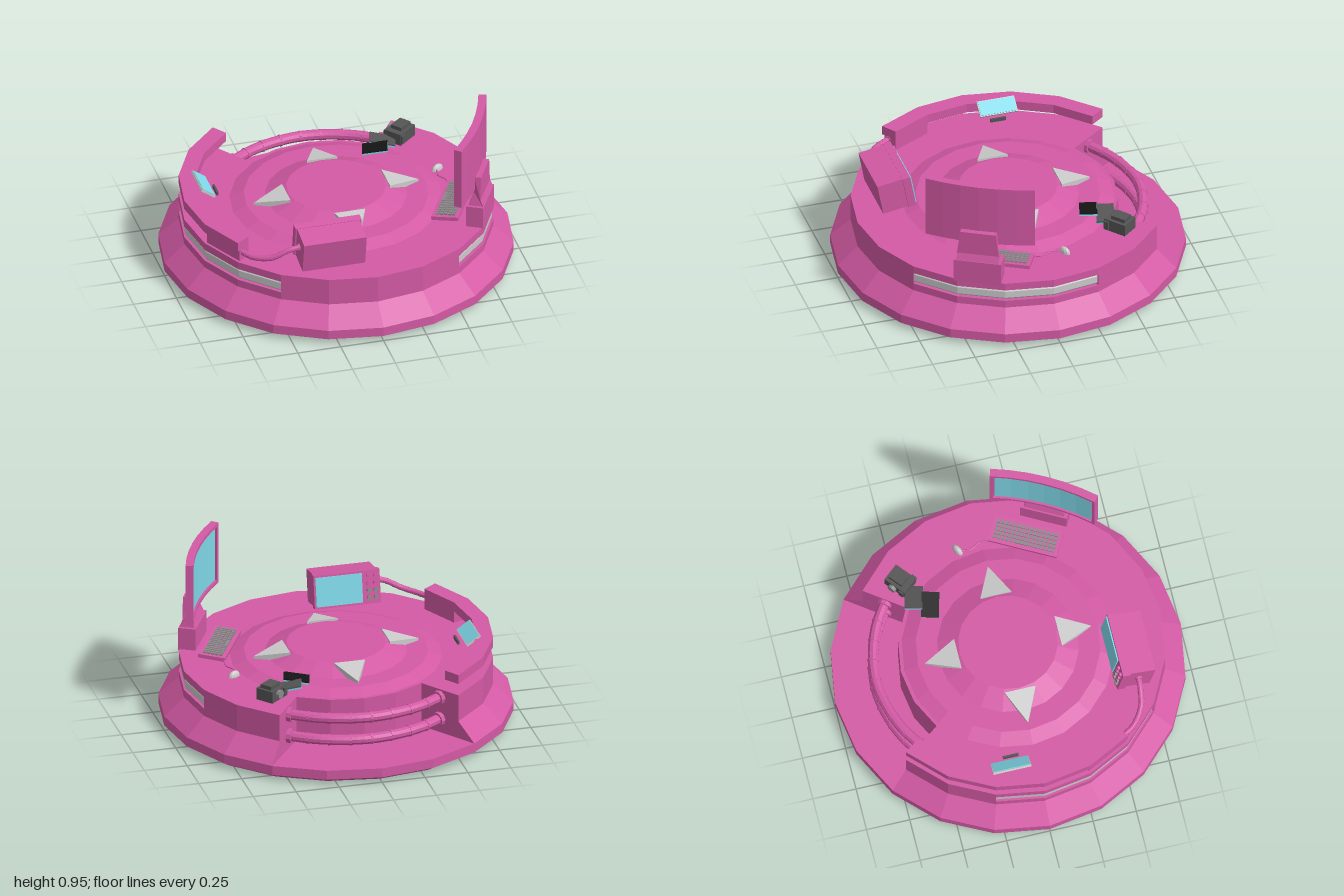
import * as THREE from 'three';
import { mergeGeometries } from 'three/addons/utils/BufferGeometryUtils.js';

const RAD = Math.PI / 180;
const mat = (color) => new THREE.MeshStandardMaterial({ color, flatShading: true, side: THREE.DoubleSide });
const PINK = mat(0xd45aa5), GREY = mat(0xcccccc), CYAN = mat(0x80d8e8);
const DARK = mat(0x555555), BLACK = mat(0x151515), KEY = mat(0x8a8a8a);

function add(parent, name, geometry, material, x = 0, y = 0, z = 0) {
  const mesh = new THREE.Mesh(geometry, material);
  mesh.name = name;
  mesh.position.set(x, y, z);
  parent.add(mesh);
  return mesh;
}

function subgroup(parent, name, x = 0, y = 0, z = 0) {
  const g = new THREE.Group();
  g.name = name;
  g.position.set(x, y, z);
  parent.add(g);
  return g;
}

const box = (w, h, d) => new THREE.BoxGeometry(w, h, d);
const points = (list) => list.map(([r, y]) => new THREE.Vector2(r, y));

// Capped part-turn of a closed profile; angles in degrees from +z toward +x.
function sector(profile, from, to, segments = Math.round((to - from) / 18)) {
  const pts = points(profile);
  const parts = [new THREE.LatheGeometry([...pts, pts[0].clone()], segments, from * RAD, (to - from) * RAD)];
  for (const a of [from, to]) parts.push(new THREE.ShapeGeometry(new THREE.Shape(pts)).rotateY((a - 90) * RAD));
  return mergeGeometries(parts);
}

const slab = (r0, r1, y0, y1) => [[r0, y0], [r1, y0], [r1, y1], [r0, y1]];

// Ribbed hose with a collar at both ends.
function hose(parent, name, path, radius, ribs) {
  const g = subgroup(parent, name);
  const curve = new THREE.CatmullRomCurve3(path.map((p) => new THREE.Vector3(...p)));
  add(g, 'hoseTube', new THREE.TubeGeometry(curve, 24, radius, 10), PINK);
  for (let i = 0; i <= ribs; i++) {
    const end = i === 0 || i === ribs;
    const r = radius * (end ? 1.4 : 1.1);
    const ring = add(g, end ? 'hoseCollar' : 'hoseRib', new THREE.CylinderGeometry(r, r, radius * (end ? 1.6 : 0.4), 10), PINK);
    ring.position.copy(curve.getPointAt(i / ribs));
    ring.quaternion.setFromUnitVectors(new THREE.Vector3(0, 1, 0), curve.getTangentAt(i / ribs));
  }
}

function buildPlatform(root) {
  const g = subgroup(root, 'platform');
  // Foot plate and stepped centre mound
  add(g, 'footPlate', new THREE.LatheGeometry(points([[0, 0], [0.95, 0], [1, 0.03], [1, 0.085], [0, 0.085]]), 20), PINK);
  add(g, 'centreMound', new THREE.LatheGeometry(points([[0.62, 0.085], [0.62, 0.35], [0.6, 0.35], [0.52, 0.38],
    [0.4, 0.38], [0.28, 0.43], [0, 0.43]]), 20), PINK);

  // Drum ring, open at the back and grooved at the sides for the lights
  const lower = [[0.62, 0.085], [1, 0.085], [0.885, 0.19]];
  const upper = [[0.885, 0.35], [0.62, 0.35]];
  const groove = [[0.885, 0.235], [0.85, 0.235], [0.85, 0.305], [0.885, 0.305]];
  for (const [from, to, lit] of [[-144, -108], [-108, -36, true], [-36, 36], [36, 108, true], [108, 144]]) {
    add(g, 'drumSection', sector([...lower, ...(lit ? groove : []), ...upper], from, to), PINK);
    if (lit) add(g, 'sideLight', sector([[0.85, 0.24], [0.87, 0.24], [0.877, 0.25], [0.877, 0.29], [0.87, 0.3], [0.85, 0.3]], from, to), GREY);
  }

  // Raised rail with a foot at its front end
  add(g, 'rail', sector(slab(0.79, 0.885, 0.42, 0.475), -144, -54), PINK);
  add(g, 'railFoot', sector(slab(0.79, 0.87, 0.35, 0.42), -72, -54), PINK);

  // Arrow wedges pointing outward
  const wedge = new THREE.BufferGeometry();
  wedge.setAttribute('position', new THREE.Float32BufferAttribute(
    [-0.09, 0.435, 0.29, 0.09, 0.435, 0.29, 0, 0.395, 0.48, -0.09, 0.37, 0.29, 0.09, 0.37, 0.29, 0, 0.375, 0.48], 3));
  wedge.setIndex([0, 2, 1, 3, 4, 5, 0, 1, 4, 0, 4, 3, 1, 2, 5, 1, 5, 4, 2, 0, 3, 2, 3, 5]);
  wedge.computeVertexNormals();
  for (let i = 0; i < 4; i++) add(g, 'arrowWedge', wedge, GREY).rotation.y = i * 90 * RAD;

  // Two hoses bridging the rear opening
  for (const y of [0.3, 0.168]) {
    const path = [-36, -24, -12, 0, 12, 24, 36].map((a) => {
      const r = 0.765 - 0.015 * Math.abs(a) / 36;
      return [r * Math.sin(a * RAD), y, -r * Math.cos(a * RAD)];
    });
    hose(g, 'rearHose', path, 0.03, 8);
  }
}

// Desk turned so that its local +x points outward
function buildDesk(root) {
  const g = subgroup(root, 'desk');
  g.rotation.y = -28.4 * RAD;

  // Curved monitor
  const monitor = subgroup(g, 'monitor', -0.6);
  add(monitor, 'monitorPanel', sector(slab(1.4, 1.43, 0.58, 0.95), 77.3, 102.7, 6), PINK);
  add(monitor, 'monitorScreen', sector(slab(1.395, 1.401, 0.605, 0.925), 78.4, 101.6, 6), CYAN);
  for (const [y0, y1] of [[0.58, 0.6], [0.93, 0.95]])
    add(monitor, 'monitorBezel', sector(slab(1.385, 1.4, y0, y1), 77.3, 102.7, 6), PINK);
  for (const a of [77.3, 101.9])
    add(monitor, 'monitorBezel', sector(slab(1.385, 1.4, 0.58, 0.95), a, a + 0.8, 1), PINK);

  // Stand: foot block and a leaning neck
  add(g, 'standFoot', box(0.1, 0.14, 0.27), PINK, 0.83, 0.41, 0);
  const side = new THREE.Shape(points([[0.785, 0.47], [0.88, 0.47], [0.86, 0.52], [0.86, 0.66], [0.82, 0.66], [0.82, 0.56]]));
  const neck = new THREE.ExtrudeGeometry(side, { depth: 0.24, bevelEnabled: false }).translate(0, 0, -0.12);
  const p = neck.attributes.position;
  for (let i = 0; i < p.count; i++) if (p.getY(i) > 0.53) p.setZ(i, p.getZ(i) * 0.85);
  add(g, 'standNeck', neck, PINK);

  // Keyboard
  const board = subgroup(g, 'keyboard', 0.656, 0.378, -0.07);
  board.rotation.z = 0.08;
  add(board, 'keyboardBody', box(0.155, 0.022, 0.4), PINK);
  for (let row = 0; row < 5; row++) {
    for (let col = 0; col < 15; col++) {
      if (row === 0 && col > 4 && col < 9) continue;
      add(board, 'key', box(0.018, 0.012, 0.018), KEY, -0.046 + row * 0.023, 0.014, -0.168 + col * 0.024);
    }
  }
  add(board, 'spaceBar', box(0.018, 0.012, 0.09), KEY, -0.046, 0.014, -0.012);

  // Mouse and its lead
  const mouse = add(root, 'mouse', new THREE.SphereGeometry(0.04, 10, 6, 0, Math.PI * 2, 0, Math.PI / 2), GREY, 0.63, 0.35, -0.14);
  mouse.scale.set(1, 0.85, 0.5);
  mouse.rotation.y = 0.5;
  const lead = new THREE.CatmullRomCurve3([[0.62, 0.36, -0.12], [0.615, 0.36, -0.06], [0.64, 0.36, -0.02], [0.64, 0.37, 0.05]]
    .map((q) => new THREE.Vector3(...q)));
  add(root, 'mouseLead', new THREE.TubeGeometry(lead, 12, 0.005, 6), PINK);
}

function buildTerminal(root) {
  // Tilted terminal, its screen facing the centre
  const g = subgroup(root, 'terminal', -0.213, 0.467, 0.645);
  g.rotation.x = 10.4 * RAD;
  add(g, 'terminalBody', box(0.365, 0.19, 0.15), PINK, 0, 0, 0.022);
  add(g, 'terminalBezel', box(0.385, 0.195, 0.045), PINK, 0, 0, -0.073);
  add(g, 'terminalScreen', box(0.27, 0.17, 0.012), CYAN, 0.048, 0, -0.097);
  for (let i = 0; i < 4; i++) {
    for (const x of [-0.165, -0.125]) {
      const knob = add(g, 'terminalKnob', new THREE.CylinderGeometry(0.013, 0.013, 0.018, 10), i < 2 ? PINK : KEY, x, 0.065 - i * 0.042, -0.1);
      knob.rotation.x = Math.PI / 2;
    }
  }
  hose(root, 'terminalHose', [[-0.69, 0.4, 0.49], [-0.64, 0.4, 0.57], [-0.55, 0.42, 0.635], [-0.46, 0.465, 0.655], [-0.39, 0.48, 0.66]], 0.016, 9);
}

function buildGadgets(root) {
  // Tablet leaning on the rail
  const tablet = subgroup(root, 'tablet', -0.73, 0.465, -0.16);
  tablet.rotation.z = -35 * RAD;
  add(tablet, 'tabletBody', box(0.095, 0.012, 0.22), GREY);
  add(tablet, 'tabletScreen', box(0.085, 0.006, 0.21), CYAN, 0, 0.007, 0);
  add(root, 'tabletStop', box(0.012, 0.02, 0.09), DARK, -0.663, 0.425, -0.145);

  // Handheld unit
  const unit = subgroup(root, 'handheldUnit', 0.51, 0.4, -0.5);
  unit.rotation.y = 40 * RAD;
  add(unit, 'unitBody', box(0.14, 0.07, 0.11), DARK);
  add(unit, 'unitTop', box(0.09, 0.025, 0.07), DARK, 0.01, 0.045, 0);
  add(unit, 'unitRidge', box(0.03, 0.05, 0.13), DARK, -0.05, 0, 0);
  add(unit, 'unitDial', new THREE.CylinderGeometry(0.025, 0.025, 0.03, 10).rotateX(Math.PI / 2), KEY, 0.01, 0.005, -0.06);

  // Two leaning flat cards with bright undersides
  for (const [x, y, z, face, tilt] of [[0.33, 0.405, -0.37, BLACK, 0.15], [0.395, 0.4, -0.45, DARK, -0.2]]) {
    const card = subgroup(root, 'card', x, y, z);
    card.rotation.set(0, -15 * RAD, tilt);
    add(card, 'cardFace', box(0.145, 0.008, 0.1), face, 0, 0.005, 0);
    add(card, 'cardBack', box(0.145, 0.01, 0.1), CYAN, 0, -0.004, 0);
  }
}

export function createModel() {
  const root = new THREE.Group();
  root.name = 'controlPlatform';
  buildPlatform(root);
  buildDesk(root);
  buildTerminal(root);
  buildGadgets(root);
  return root;
}
